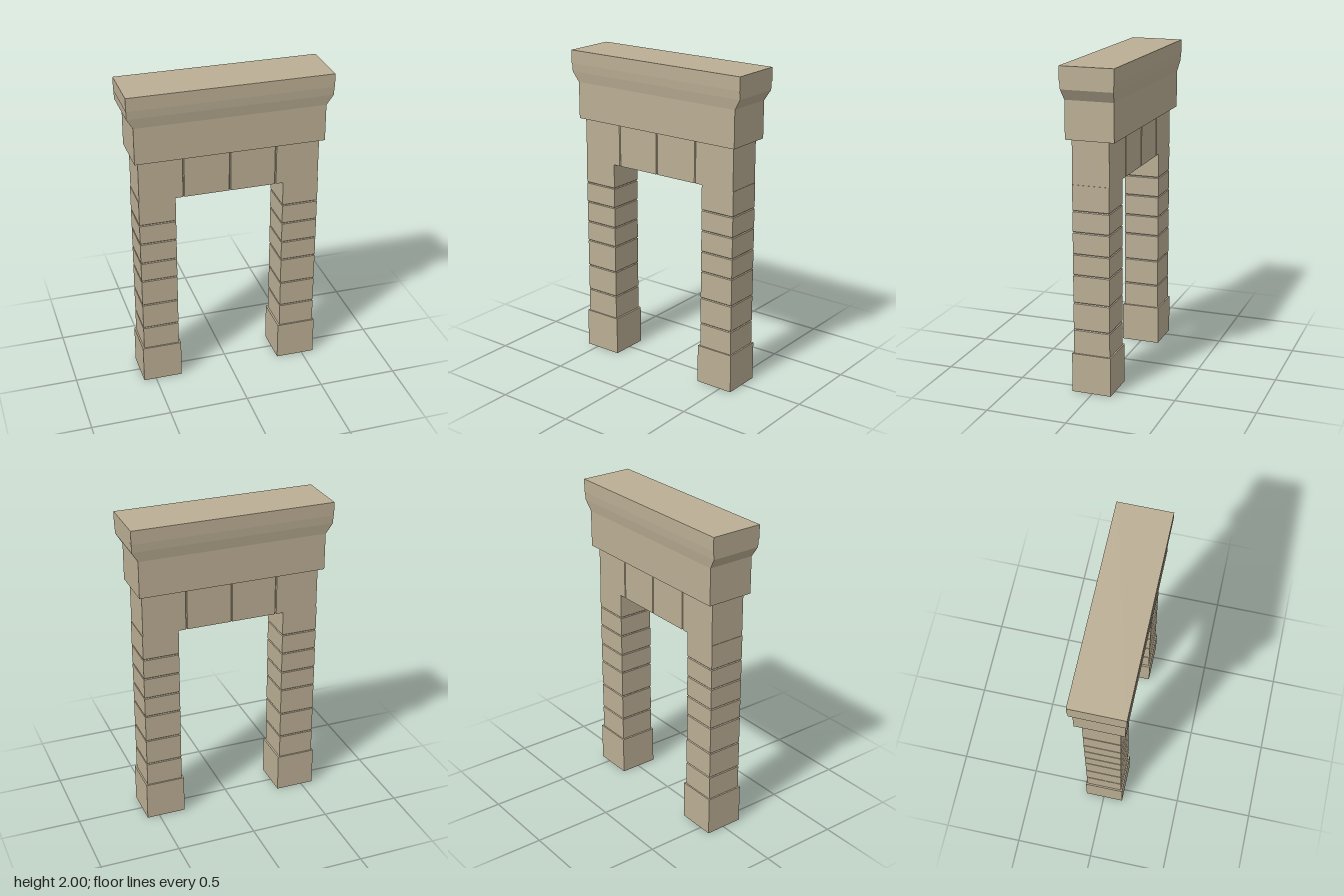
import * as THREE from 'three';

// Rectangular loft along y; each ring is [y, halfX, halfZ]
function loft(rings) {
  const pos = [];
  const corners = rings.map(([y, a, b]) => [[-a, y, b], [a, y, b], [a, y, -b], [-a, y, -b]]);
  const quad = (a, b, c, d) => pos.push(...a, ...b, ...c, ...a, ...c, ...d);
  for (let i = 0; i < corners.length - 1; i++) {
    const lo = corners[i], hi = corners[i + 1];
    for (let k = 0; k < 4; k++) {
      const n = (k + 1) % 4;
      quad(lo[k], lo[n], hi[n], hi[k]);
    }
  }
  const b = corners[0], t = corners[corners.length - 1];
  quad(b[3], b[2], b[1], b[0]);
  quad(t[0], t[1], t[2], t[3]);
  const geo = new THREE.BufferGeometry();
  geo.setAttribute('position', new THREE.Float32BufferAttribute(pos, 3));
  geo.computeVertexNormals();
  return geo;
}

// Stacked blocks: straight sides with a small V groove at every joint
function blocks(from, to, joints, halfX, halfZ) {
  const h = 0.005, d = 0.005;
  const rings = [[from, halfX, halfZ]];
  for (const j of joints) {
    rings.push([j - h, halfX, halfZ], [j, halfX - d, halfZ - d], [j + h, halfX, halfZ]);
  }
  rings.push([to, halfX, halfZ]);
  return loft(rings);
}

export function createModel() {
  const model = new THREE.Group();
  const stone = new THREE.MeshStandardMaterial({ color: 0xbbae94 });
  stone.name = 'sandstone';
  const add = (name, geo, x = 0, y = 0, z = 0) => {
    const mesh = new THREE.Mesh(geo, stone);
    mesh.name = name;
    mesh.position.set(x, y, z);
    model.add(mesh);
  };

  // Pillars of unequal blocks on plain plinths
  const joints = [0.4, 0.57, 0.745, 0.875, 1.01, 1.14];
  for (const [side, s] of [['left', 1], ['right', -1]]) {
    add(side + 'Plinth', loft([[0, 0.125, 0.124], [0.247, 0.125, 0.124]]), s * 0.454, 0, 0.004);
    add(side + 'Pillar', blocks(0.247, 1.298, joints, 0.114, 0.115), s * 0.455, 0, 0.004);
  }

  // Lintel of four blocks, lofted along x
  const lintel = blocks(-0.566, 0.566, [-0.29, 0, 0.29], 0.136, 0.115);
  lintel.rotateZ(-Math.PI / 2);
  add('lintel', lintel, 0, 1.434, 0.004);

  // Frieze, flared moulding and cap slab
  add('frieze', loft([[1.568, 0.591, 0.151], [1.8, 0.591, 0.151]]));
  add('moulding', loft([[1.8, 0.591, 0.151], [1.865, 0.631, 0.161], [1.917, 0.631, 0.165]]));
  add('capSlab', loft([[1.917, 0.633, 0.167], [2, 0.633, 0.167]]));
  return model;
}
